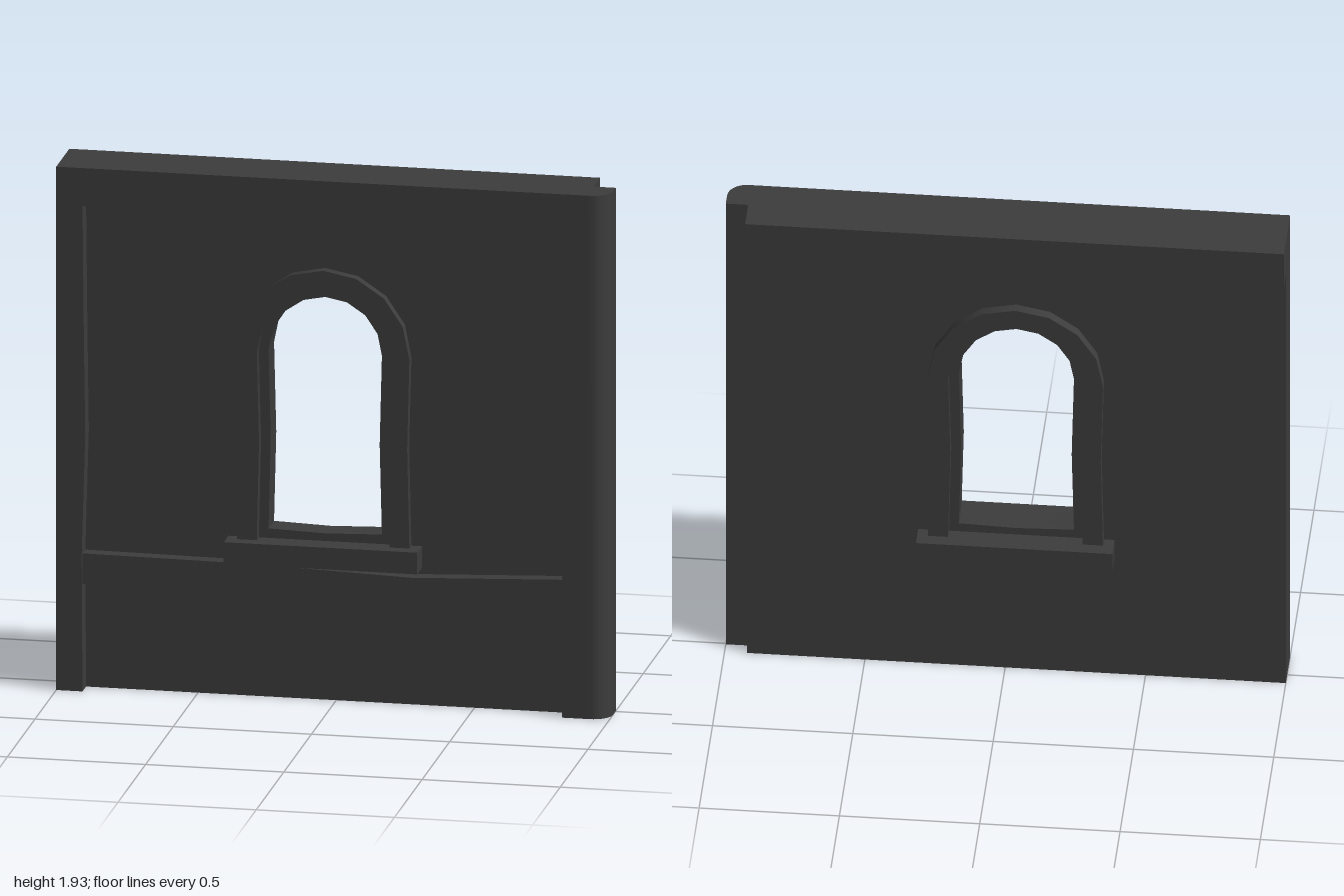
import * as THREE from 'three';
import { toCreasedNormals } from 'three/addons/utils/BufferGeometryUtils.js';

const CX = -0.04;     // window centre line
const SPRING = 1.28;  // height where the arches begin
const TOP = 1.93;

const pts = (list) => list.map(([x, y]) => new THREE.Vector2(x, y));

// Round-headed outline from bottom left, over the arch, to bottom right,
// with jambs bowed slightly inward.
function archPoints(r, bottom) {
  const p = [[CX - r, bottom], [CX - r + 0.008, 0.95]];
  for (let i = 0; i <= 8; i++) {
    const a = Math.PI * (1 - i / 8);
    p.push([CX + r * Math.cos(a), SPRING + r * Math.sin(a)]);
  }
  p.push([CX + r - 0.008, 0.95], [CX + r, bottom]);
  return p;
}

export function createModel() {
  const group = new THREE.Group();
  const material = new THREE.MeshStandardMaterial({ color: 0x3c3c3c });

  function add(name, geometry) {
    const mesh = new THREE.Mesh(toCreasedNormals(geometry, 0.5), material);
    mesh.name = name;
    group.add(mesh);
    return mesh;
  }

  // Extrude an outline from z0 to z1
  function slab(name, outline, z0, z1, hole) {
    const shape = new THREE.Shape(pts(outline));
    if (hole) shape.holes.push(new THREE.Path(pts(hole)));
    const geo = new THREE.ExtrudeGeometry(shape, { depth: z1 - z0, bevelEnabled: false });
    geo.translate(0, 0, z0);
    return add(name, geo);
  }

  // Wall panel with the window opening
  slab('wall', [[-1, 0], [0.92, 0], [0.92, TOP], [-1, TOP]], -0.05, 0.05,
    [...archPoints(0.205, 0.62), [CX, 0.613]]);

  // Front posts and top beam, with uneven inner edges
  slab('frontFrame', [
    [-1, 0], [-0.905, 0], [-0.908, 0.5], [-0.895, 0.95], [-0.9, 1.3], [-0.905, 1.79],
    [-0.3, 1.775], [0.27, 1.797], [0.83, 1.787],
    [0.828, 1.4], [0.84, 0.95], [0.83, 0.5], [0.83, 0], [0.92, 0], [0.92, TOP], [-1, TOP],
  ], 0.05, 0.115);

  // Rounded corner post, drawn in plan and stood upright
  const plan = new THREE.Shape();
  plan.moveTo(0.92, -0.005);
  plan.lineTo(0.92, -0.115);
  plan.lineTo(0.93, -0.115);
  plan.absarc(0.93, -0.045, 0.07, -Math.PI / 2, 0, false);
  plan.lineTo(1, 0.005);
  plan.lineTo(0.92, 0.005);
  const post = new THREE.ExtrudeGeometry(plan, { depth: TOP, bevelEnabled: false, curveSegments: 8 });
  post.rotateX(-Math.PI / 2);
  add('cornerPost', post);

  // Beam along the top of the back
  slab('backBeam', [
    [-1, 1.785], [-0.4, 1.778], [0.3, 1.79], [0.92, 1.783], [0.92, TOP], [-1, TOP],
  ], -0.122, -0.05);

  // Horizontal rail below the window
  slab('rail', [
    [-0.92, 0.392], [-0.5, 0.382], [0.1, 0.375], [0.5, 0.382], [0.85, 0.392],
    [0.85, 0.505], [0.28, 0.481], [-0.3, 0.5], [-0.92, 0.505],
  ], 0.04, 0.1);

  // Arched surround standing proud on both faces
  slab('windowSurround',
    [...archPoints(0.312, 0.58), ...archPoints(0.24, 0.58).reverse()], -0.088, 0.088);

  // Sill passing through the wall
  const sill = new THREE.BoxGeometry(0.7, 0.08, 0.272);
  sill.translate(CX, 0.545, 0);
  add('windowSill', sill);

  return group;
}
